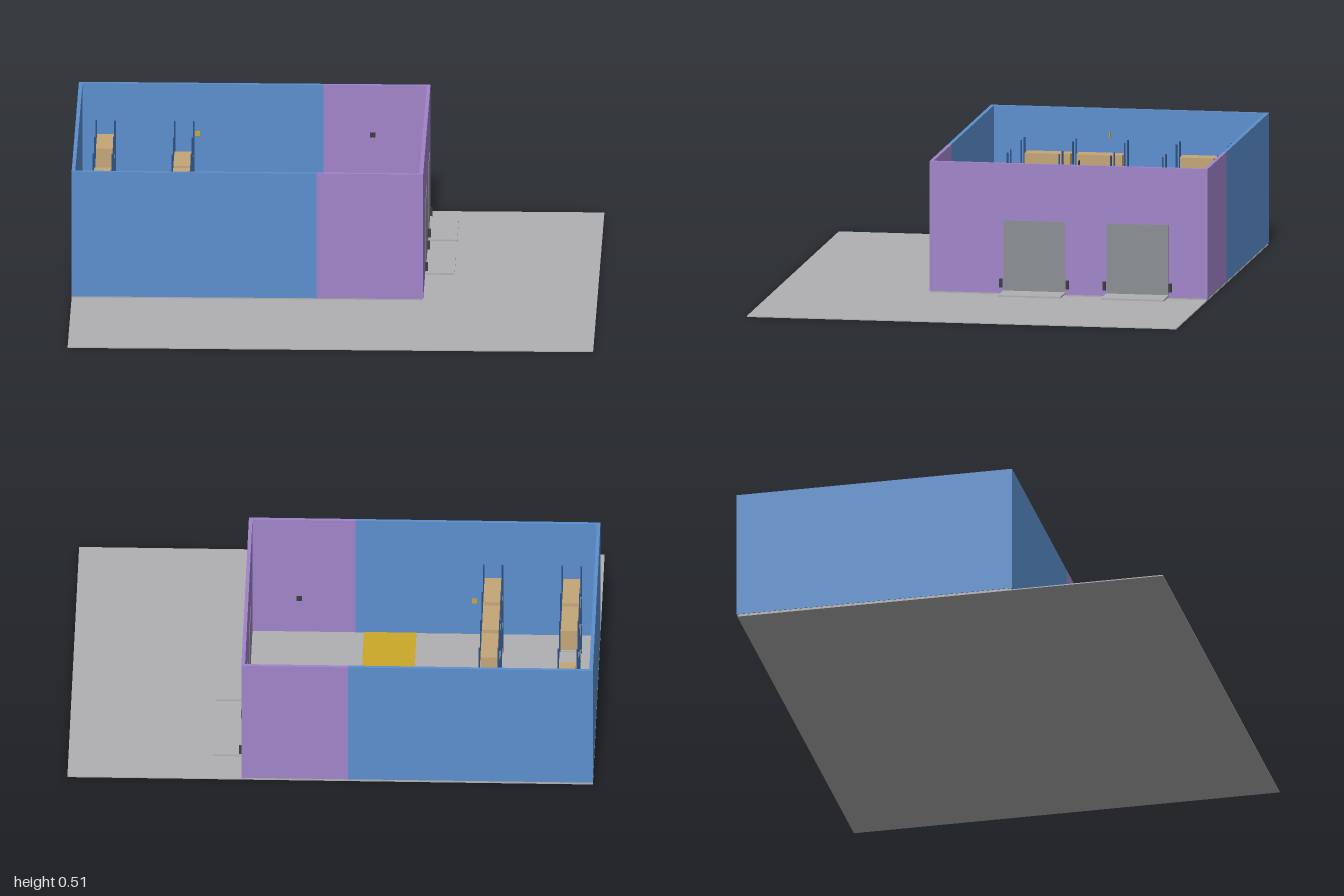
import * as THREE from 'three';

const material = (name, color) => {
  const m = new THREE.MeshStandardMaterial({ color });
  m.name = name;
  return m;
};

export function createModel() {
  const model = new THREE.Group();
  model.name = 'warehouse';

  const concrete = material('concrete grey', 0xb0b0b2);
  const blue = material('wall blue', 0x5b8fce);
  const purple = material('wall purple', 0xa184ca);
  const yellow = material('marking yellow', 0xcca828);
  const doorGrey = material('door grey', 0x8a8f92);
  const dark = material('bumper dark', 0x3a3d40);
  const steel = material('rack steel blue', 0x2c4f80);
  const carton = material('carton tan', 0xc4a678);

  // Box given by its minimum and maximum on each axis
  const box = (name, mat, [x0, x1], [y0, y1], [z0, z1], parent = model) => {
    const mesh = new THREE.Mesh(new THREE.BoxGeometry(x1 - x0, y1 - y0, z1 - z0), mat);
    mesh.position.set((x0 + x1) / 2, (y0 + y1) / 2, (z0 + z1) / 2);
    mesh.name = name;
    parent.add(mesh);
    return mesh;
  };

  // Yard and floor slab
  box('yard', concrete, [-1, 1], [0, 0.004], [-0.83, 0.83]);
  box('floorSlab', concrete, [-0.998, 0.335], [0.004, 0.012], [-0.829, 0.238]);
  box('floorLane', yellow, [-0.3, -0.1], [0.012, 0.014], [-0.82, 0.23]);

  // Walls: blue storage end, purple dock end
  const wallY = [0.01, 0.51];
  const t = 0.014;
  box('endWall', blue, [-1, -1 + t], wallY, [-0.833, 0.242]);
  box('dockWall', purple, [0.338 - t, 0.338], wallY, [-0.833, 0.242]);
  for (const [side, z0] of [['back', -0.833], ['front', 0.242 - t]]) {
    box(side + 'StorageWall', blue, [-1 + t, -0.068], wallY, [z0, z0 + t]);
    box(side + 'DockWall', purple, [-0.068, 0.338 - t], wallY, [z0, z0 + t]);
  }

  // Dock doors with plates and bumpers
  for (const z of [-0.163, -0.562]) {
    const dock = new THREE.Group();
    dock.name = 'loadingDock';
    model.add(dock);
    box('dockDoor', doorGrey, [0.322, 0.34], [0.014, 0.29], [z - 0.119, z + 0.119], dock);
    box('dockPlate', concrete, [0.338, 0.45], [0.013, 0.02], [z - 0.121, z + 0.121], dock);
    for (const s of [-1, 1]) {
      const c = z + s * 0.128;
      box('dockBumper', dark, [0.338, 0.35], [0.032, 0.065], [c - 0.006, c + 0.006], dock);
    }
  }

  // Pallet racks: posts, shelves and cartons (one 0/1 per bay, back to front)
  const shelfLevels = [0.03, 0.145, 0.265];
  const addRack = (x, loads) => {
    const rack = new THREE.Group();
    rack.name = 'palletRack';
    model.add(rack);
    for (let i = 0; i < 5; i++) {
      const z = -0.7 + i * 0.2;
      for (const s of [-1, 1]) {
        const px = x + s * 0.036;
        box('rackPost', steel, [px - 0.003, px + 0.003], [0.012, 0.4], [z - 0.003, z + 0.003], rack);
      }
    }
    shelfLevels.forEach((y, level) => {
      for (let bay = 0; bay < 4; bay++) {
        const z = -0.6 + bay * 0.2;
        box('rackShelf', concrete, [x - 0.036, x + 0.036], [y - 0.006, y], [z - 0.098, z + 0.098], rack);
        if (loads[level][bay]) {
          box('carton', carton, [x - 0.032, x + 0.032], [y, y + 0.085], [z - 0.088, z + 0.088], rack);
        }
      }
    });
  };
  addRack(-0.895, [[1, 1, 1, 1], [1, 1, 0, 1], [1, 0, 1, 1]]);
  addRack(-0.595, [[1, 1, 1, 1], [1, 0, 1, 1], [0, 1, 1, 1]]);
  box('rackSafetyLine', yellow, [-0.559, -0.552], [0.012, 0.03], [-0.7, 0.1]);

  // Small hanging signs
  box('storageSign', yellow, [-0.545, -0.525], [0.475, 0.495], [-0.302, -0.298]);
  box('dockSign', dark, [0.122, 0.142], [0.475, 0.495], [-0.302, -0.298]);

  return model;
}
